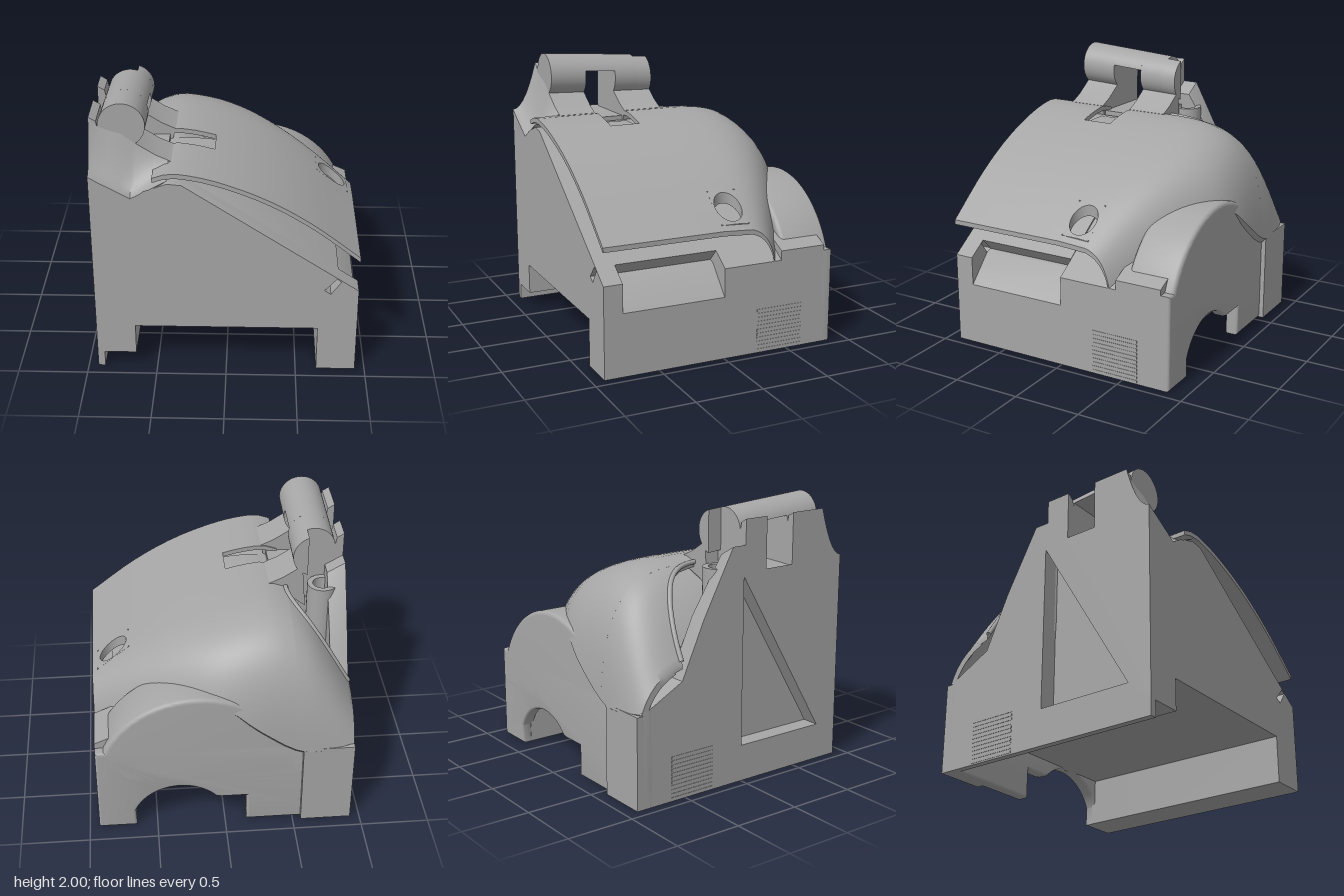
import * as THREE from 'three';
import { toCreasedNormals } from 'three/addons/utils/BufferGeometryUtils.js';

const grey = new THREE.MeshStandardMaterial({ color: 0xa6a6a6, side: THREE.DoubleSide });
grey.name = 'plainGrey';

// smooth interpolation through [x, y] knots
function curveAt(knots, x) {
  const n = knots.length;
  let i = 0;
  while (i < n - 2 && x > knots[i + 1][0]) i++;
  const slope = j => {
    const a = knots[Math.max(0, j - 1)], b = knots[Math.min(n - 1, j + 1)];
    return (b[1] - a[1]) / (b[0] - a[0]);
  };
  const [x0, y0] = knots[i], [x1, y1] = knots[i + 1], w = x1 - x0;
  const t = Math.min(1, Math.max(0, (x - x0) / w)), t2 = t * t, t3 = t2 * t;
  return (2 * t3 - 3 * t2 + 1) * y0 + (t3 - 2 * t2 + t) * w * slope(i)
    + (3 * t2 - 2 * t3) * y1 + (t3 - t2) * w * slope(i + 1);
}

// hood surface: crest height, rear reach and lower rear edge, all by x
const crest = x => curveAt([[-0.93, 1.0], [-0.75, 1.3], [-0.6, 1.48], [-0.42, 1.57], [-0.25, 1.565], [0, 1.5], [0.3, 1.375], [0.6, 1.195], [0.93, 0.94]], x);
const reach = x => curveAt([[-0.93, 0.92], [-0.5, 0.915], [0.02, 0.91], [0.3, 0.79], [0.6, 0.62], [0.93, 0.43]], x);
const hem = x => curveAt([[-0.93, 0.68], [-0.55, 0.66], [-0.25, 0.85], [0, 1.04], [0.3, 1.1], [0.6, 0.93], [0.93, 0.65]], x);
const hoodY = (x, z) => crest(x) * (z >= 0 ? 1 : Math.pow(Math.max(0, 1 - Math.pow(-z / reach(x), 4)), 0.25));
const angleAt = (x, z) => Math.asin(Math.min(1, Math.pow(-z / reach(x), 2)));
const hemAngle = x => Math.acos(Math.min(1, Math.pow(hem(x) / crest(x), 2)));
const rearPoint = (x, a) => [x, crest(x) * Math.sqrt(Math.cos(a)), -reach(x) * Math.sqrt(Math.sin(a))];

// thick sheet from a grid of points, with optional missing cells
function sheet(cols, rows, point, skip = () => false, thick = () => 0.035) {
  const pos = [], idx = [], N = cols * rows, id = (i, j) => i * rows + j;
  for (let k = 0; k < 2; k++) for (let i = 0; i < cols; i++) for (let j = 0; j < rows; j++) {
    const [x, y, z] = point(i, j), t = k * thick(x, y);
    pos.push(x, y - t, z + (z < -0.6 ? t : 0));
  }
  const quad = (a, b, c, d) => idx.push(a, b, c, a, c, d);
  const solid = (i, j) => i >= 0 && j >= 0 && i < cols - 1 && j < rows - 1 && !skip(i, j);
  for (let i = 0; i < cols - 1; i++) for (let j = 0; j < rows - 1; j++) {
    if (!solid(i, j)) continue;
    const a = id(i, j), b = id(i + 1, j), c = id(i + 1, j + 1), d = id(i, j + 1);
    quad(a, b, c, d);
    quad(a + N, d + N, c + N, b + N);
    for (const [p, q, ii, jj] of [[a, b, i, j - 1], [b, c, i + 1, j], [c, d, i, j + 1], [d, a, i - 1, j]])
      if (!solid(ii, jj)) quad(p, p + N, q + N, q);
  }
  const g = new THREE.BufferGeometry();
  g.setAttribute('position', new THREE.Float32BufferAttribute(pos, 3));
  g.setIndex(idx);
  return toCreasedNormals(g, 0.7);
}

const vectors = pts => pts.map(p => new THREE.Vector2(p[0], p[1]));
const shapeOf = pts => new THREE.Shape(vectors(pts));
function extrude(shape, z0, z1, bevel = 0) {
  const g = new THREE.ExtrudeGeometry(shape, { depth: z1 - z0 - 2 * bevel, curveSegments: 32, bevelEnabled: bevel > 0, bevelThickness: bevel, bevelSize: bevel, bevelOffset: -bevel, bevelSegments: 4 });
  g.translate(0, 0, z0 + bevel);
  return toCreasedNormals(g, 0.6);
}
// move every vertex height by a rule
function reshapeY(g, rule) {
  const p = g.attributes.position;
  for (let i = 0; i < p.count; i++) p.setY(i, rule(p.getX(i), p.getY(i), p.getZ(i)));
  g.deleteAttribute('normal');
  return toCreasedNormals(g, 0.6);
}

export function createModel() {
  const model = new THREE.Group();
  const add = (name, geo) => {
    const m = new THREE.Mesh(geo, grey);
    m.name = name;
    model.add(m);
  };
  const box = (name, x0, x1, y0, y1, z0, z1) =>
    add(name, new THREE.BoxGeometry(x1 - x0, y1 - y0, z1 - z0).translate((x0 + x1) / 2, (y0 + y1) / 2, (z0 + z1) / 2));

  // body slices along z, sharing the channel underneath
  const under = [[-0.8, 0.12], [-0.65, 0.12], [-0.65, 0.35], [0.65, 0.35], [0.65, 0], [0.93, 0]];
  const left = [[-0.3, 1.49], [-0.4, 1.5], [-0.56, 1.44], [-0.65, 1.37], [-0.8, 1.456]];
  const endShape = shapeOf([...under, [0.93, 0.67], ...left]);
  endShape.holes.push(new THREE.Path(vectors([[0.69, 0.67], [0.735, 0.64], [0.805, 0.74], [0.775, 0.765]])));
  add('bodyFront', extrude(endShape, 0.77, 0.91));
  add('bodyMiddle', extrude(shapeOf([...under, [0.93, 0.46], [0.74, 0.66], [0.7, 0.67], [0.79, 0.763], ...left]), 0, 0.77));
  add('bodyBehind', extrude(shapeOf([...under, [0.93, 0.67], [-0.3, 1.45], [-0.6, 1.33], [-0.8, 1.05]]), -0.45, 0));
  add('bodyRear', extrude(shapeOf([...under, [0.93, 0.74], [0.5, 0.93], [-0.3, 1.07], [-0.6, 0.95], [-0.8, 0.72]]), -0.8, -0.45));

  // side plate with a triangular recess and a top sloping inwards, and the foot lip below it
  const plate = shapeOf([[-0.85, 0.12], [0.91, 0.12], [0.91, 1.53], [0.2, 1.53], [0.02, 1.72], [-0.1, 1.72], [-0.35, 1.25], [-0.53, 0.85], [-0.85, 0.68]]);
  plate.holes.push(new THREE.Path(vectors([[0, 0.27], [0, 1.5], [0.73, 0.27]])));
  add('sidePlate', reshapeY(extrude(plate, 0, 0.13).rotateY(-Math.PI / 2).translate(-0.8, 0, 0),
    (x, y) => y > 1.52 ? y - 0.571 * (x + 0.93) : y));
  box('footLip', -0.93, -0.88, 0, 0.12, -0.85, 0.91);

  // rear wall with its stepped and arched opening
  const wall = new THREE.Shape();
  wall.moveTo(-0.93, 0);
  wall.lineTo(-0.16, 0);
  wall.lineTo(-0.16, 0.23);
  wall.lineTo(0.03, 0.23);
  wall.absarc(0.33, 0, 0.355, 2.4, 0.4, true);
  wall.lineTo(0.65, 0);
  wall.lineTo(0.93, 0);
  wall.lineTo(0.93, 0.7);
  wall.lineTo(-0.93, 0.7);
  add('rearWall', extrude(wall, -0.87, -0.77, 0.02));
  box('rearCorner', -0.93, -0.56, 0, 0.67, -0.905, -0.8);

  // round housing at the rear
  const arch = new THREE.Shape();
  arch.moveTo(0.93, 0.37);
  arch.absarc(0.2, 0.41, 0.73, 0, Math.PI, false);
  arch.lineTo(-0.53, 0.37);
  add('rearHousing', extrude(arch, -0.87, -0.5, 0.03));

  // hood with a strap slot and a screw hole
  const xs = [-0.5, -0.42, -0.34, -0.25, -0.17, -0.09, 0, 0.1, 0.2, 0.3, 0.4, 0.48, 0.57, 0.65, 0.77, 0.89, 0.93];
  const zs = [0.91, 0.68, 0.43, 0.2, 0.01, -0.21];
  add('hood', sheet(xs.length, 24, (i, j) => {
    const x = xs[i];
    if (j < zs.length) return [x, hoodY(x, zs[j]), zs[j]];
    const a0 = angleAt(x, -0.21), t = (j - 5) / 18;
    return rearPoint(x, a0 + (hemAngle(x) - a0) * t);
  }, (i, j) => (j === 2 && i < 5) || (j === 4 && (i === 13 || i === 14))));
  add('slotFloor', sheet(6, 2, (i, j) => [xs[i], crest(xs[i]) - 0.035 - 0.012 * (5 - i), zs[j + 2]]));
  add('screwSurround', sheet(49, 2, (i, j) => {
    const a = -i / 48 * Math.PI * 2, c = Math.cos(a), s = Math.sin(a);
    const k = j ? Math.min(0.12 / Math.max(Math.abs(c), 1e-6), 0.11 / Math.max(Math.abs(s), 1e-6)) : 0.1;
    const x = 0.77 + c * k, z = -0.1 + s * k;
    return [x, hoodY(x, z), z];
  }));
  add('screwWell', reshapeY(new THREE.CylinderGeometry(0.1, 0.1, 0.08, 32, 1, true).translate(0.77, -0.04, -0.1),
    (x, y, z) => hoodY(x, z) + y));

  // sloping hood side, cut away by a curved edge
  const cutZ = x => -0.1 - 0.43 * Math.sqrt(Math.max(0, 1 - Math.pow((x + 0.93) / 0.43, 2)));
  add('hoodSide', sheet(16, 18, (i, j) => {
    const x = -0.93 + 0.43 * i / 15, a0 = angleAt(x, cutZ(x));
    return rearPoint(x, a0 + (hemAngle(x) - a0) * j / 17);
  }));
  const rim = [];
  for (let i = 0; i <= 12; i++) {
    const x = -0.92 + 0.42 * Math.sin(i / 12 * Math.PI / 2), z = cutZ(x);
    rim.push(new THREE.Vector3(x, hoodY(x, z), z));
  }
  add('hoodSideRim', new THREE.TubeGeometry(new THREE.CatmullRomCurve3(rim), 30, 0.018, 8));

  // hinge block and barrel, split by the strap window and drooping to the rear
  const saddle = [[-0.65, 1.37], [-0.56, 1.44], [-0.4, 1.5], [-0.38, 1.575], [-0.48, 1.62], [-0.62, 1.71]];
  const block = shapeOf([[-0.93, 1.53], ...saddle, [-0.72, 1.8], [-0.87, 1.82], [-0.88, 1.87], [-0.93, 1.9]]);
  const droop = (x, y, z) => y - 0.055 * (0.72 - z) / 0.82;
  const arc = (from, to) => {
    const s = new THREE.Shape();
    s.absarc(-0.71, 1.84, 0.16, from, to, false);
    return s;
  };
  for (const [z0, z1] of [[0.01, 0.2], [0.44, 0.72]]) {
    add('hingeBlock', extrude(block, z0, z1));
    add('hingeBarrel', reshapeY(extrude(arc(0, Math.PI * 2), z0, z1), droop));
  }
  add('hingeBridge', reshapeY(extrude(arc(0.3, Math.PI - 0.3), 0.2, 0.44), droop));
  add('hingeFloor', extrude(shapeOf([[-0.93, 1.52], [-0.65, 1.37], [-0.42, 1.45], [-0.42, 1.53]]), 0.2, 0.44));

  // hinge end, cut back around a vertical screw boss
  add('hingeEndBlock', extrude(shapeOf(saddle), -0.1, 0.01));
  add('hingeEnd', reshapeY(extrude(arc(-1.25, 1.25), -0.1, 0.01), droop));
  const ring = vectors([[0.07, 0.9], [0.07, 1.56], [0.11, 1.56], [0.11, 0.9]]);
  add('screwBoss', toCreasedNormals(new THREE.LatheGeometry(ring, 32).translate(-0.77, 0, -0.1), 0.6));

  // fillet falling from the hinge block to the front edge
  const fx = [-0.93, -0.88, -0.8, -0.72, -0.65, -0.62, -0.56, -0.48, -0.4];
  const blockTop = x => curveAt([[-0.93, 1.9], [-0.87, 1.83], [-0.72, 1.78], [-0.62, 1.71], [-0.48, 1.62], [-0.4, 1.585]], x);
  const blockFloor = x => x < -0.65 ? 1.53 - (x + 0.93) * 0.571 : 1.37 + (x + 0.65) * 0.6;
  add('hingeFillet', sheet(fx.length, 8, (i, j) => {
    const x = fx[i], t = 1 - j / 7, f = blockFloor(x);
    return [x, f + (blockTop(x) - f) * (0.04 + 0.96 * (1 - t) * (1 - t)), 0.72 + 0.19 * t];
  }, () => false, (x, y) => y - blockFloor(x)));

  // vent slats on both sides
  for (const side of [-1, 1]) for (let i = 0; i < 11; i++)
    add('ventSlat', new THREE.BoxGeometry(0.012, 0.018, 0.36).translate(side * 0.927, 0.02 + i * 0.03, -0.44));

  return model;
}
